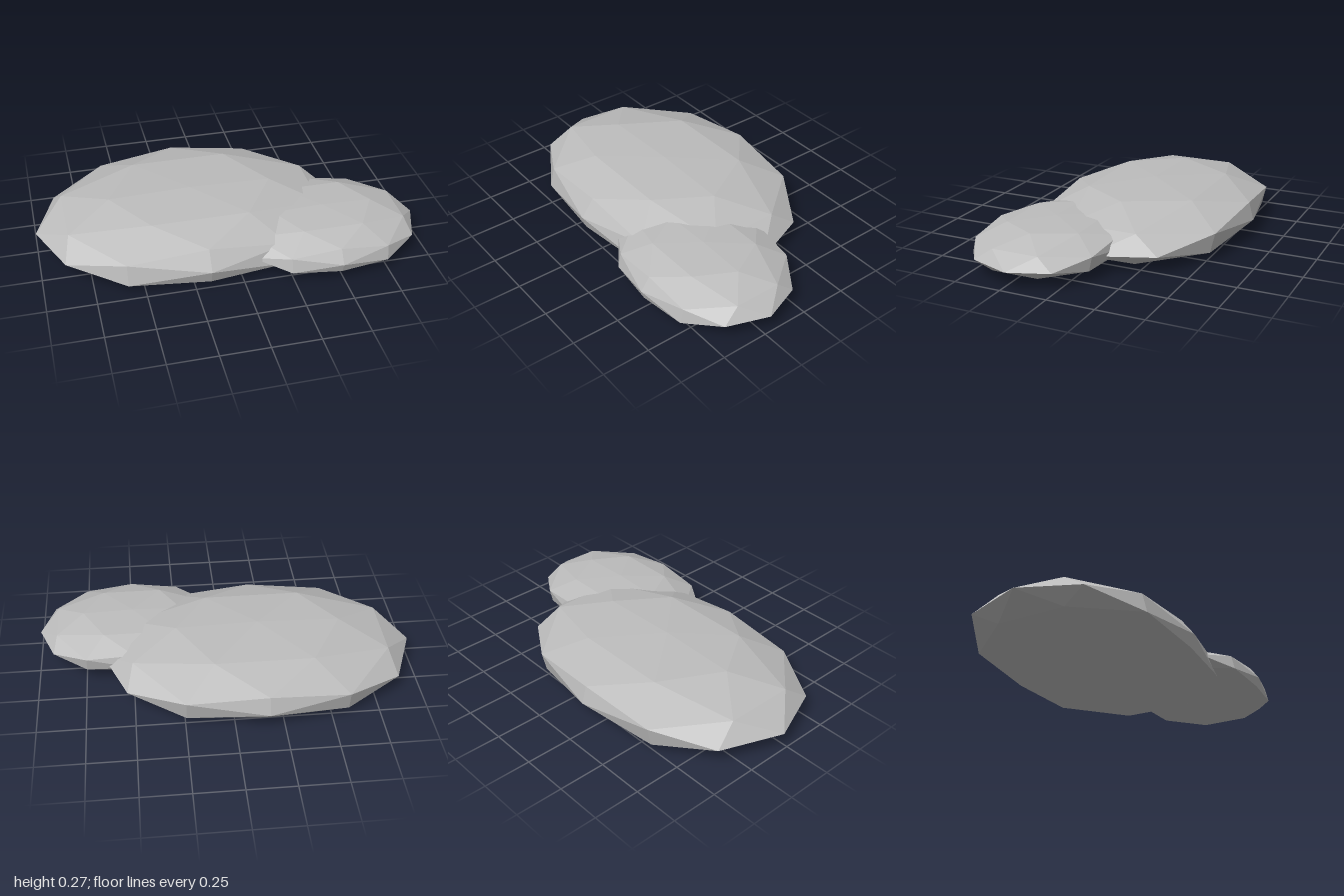
import * as THREE from 'three';

const stone = new THREE.MeshStandardMaterial({ color: 0xbcbcbc, flatShading: true });
stone.name = 'grey stone';

// A flattened faceted boulder: an icosphere with its underside pressed nearly flat
function createRock({ name, center, rx, ry, front, back, lean, rim }) {
  const geometry = new THREE.IcosahedronGeometry(1, 1);
  const p = geometry.attributes.position;
  for (let i = 0; i < p.count; i++) {
    const x = p.getX(i), y = p.getY(i), z = p.getZ(i);
    // blunt the foremost and rearmost points, and lean the rims slightly back
    const blunt = Math.abs(z) > 0.95 ? 0.93 : 1;
    const pz = z * (z > 0 ? front : back) * blunt - lean * y * Math.min(1, z * z * 1.4);
    // fill out the shoulders on top and press the part below the rim flat
    let py = y * ry;
    if (y > 0) py += ry * y ** 4 * (1 - y);
    else if (py < -rim) py = -rim + (py + rim) * 0.33;
    p.setXYZ(i, x * rx, py, pz);
  }
  geometry.computeVertexNormals();
  const rock = new THREE.Mesh(geometry, stone);
  rock.name = name;
  rock.position.set(...center);
  return rock;
}

export function createModel() {
  const group = new THREE.Group();
  group.name = 'flatRocks';
  group.add(
    createRock({
      name: 'largeRock', center: [-0.17, 0.096, -0.03],
      rx: 0.83, ry: 0.17, front: 0.58, back: 0.615, lean: 0.045, rim: 0.06,
    }),
    createRock({
      name: 'smallRock', center: [0.49, 0.096, 0.22],
      rx: 0.51, ry: 0.12, front: 0.41, back: 0.395, lean: 0.03, rim: 0.042,
    }),
  );
  return group;
}
